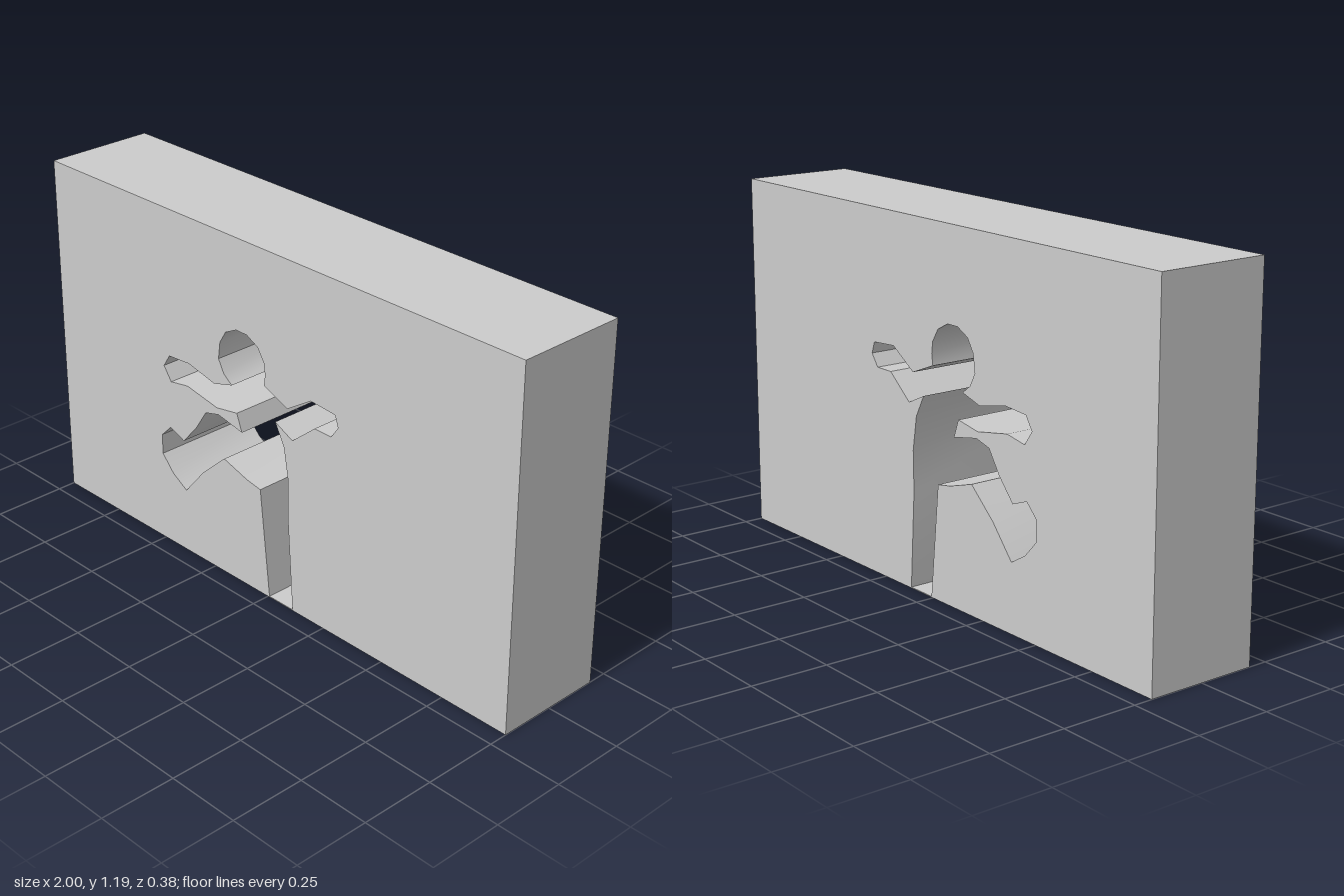
import * as THREE from 'three';
import { toCreasedNormals } from 'three/addons/utils/BufferGeometryUtils.js';

const WIDTH = 2, HEIGHT = 1.187, DEPTH = 0.375;

// Outline of the running figure, clockwise from the standing foot
const standingLegInner = [[0.007, 0.003], [-0.03, 0.375], [-0.09, 0.385], [-0.197, 0.417]];
const raisedLeg = [
  [-0.30, 0.326], [-0.387, 0.225], [-0.45, 0.262], [-0.50, 0.316], [-0.50, 0.385], [-0.456, 0.428],
  [-0.392, 0.404], [-0.328, 0.476], [-0.28, 0.548], [-0.22, 0.564], [-0.111, 0.543],
];
const rightArm = [
  [-0.133, 0.602], [-0.226, 0.586], [-0.365, 0.61], [-0.445, 0.596], [-0.478, 0.642],
  [-0.45, 0.685], [-0.355, 0.692], [-0.237, 0.666], [-0.154, 0.69],
];
const head = [
  [-0.19, 0.717], [-0.213, 0.76], [-0.205, 0.818], [-0.178, 0.861], [-0.13, 0.885],
  [-0.082, 0.885], [-0.034, 0.861], [-0.007, 0.818], [-0.002, 0.78], [-0.007, 0.743],
];
const leftArm = [
  [0.095, 0.703], [0.196, 0.767], [0.298, 0.76], [0.311, 0.722], [0.282, 0.682],
  [0.212, 0.682], [0.116, 0.604], [0.041, 0.639],
];
const standingLegOuter = [[0.079, 0.567], [0.097, 0.455], [0.095, 0.32], [0.113, 0.003]];

const toPoints = (list) => list.map(([x, y]) => new THREE.Vector2(x, y));

export function createModel() {
  const group = new THREE.Group();
  group.name = 'wallWithFigureCutout';

  // Rectangular slab pierced front to back by the figure, with a thin sill under the foot
  const w = WIDTH / 2;
  const slab = new THREE.Shape(toPoints([[-w, 0], [w, 0], [w, HEIGHT], [-w, HEIGHT]]));
  slab.holes.push(new THREE.Path(toPoints([
    ...standingLegInner, ...raisedLeg, ...rightArm, ...head, ...leftArm, ...standingLegOuter,
  ])));

  const geometry = new THREE.ExtrudeGeometry(slab, { depth: DEPTH, bevelEnabled: false });
  geometry.translate(0, 0, -DEPTH / 2);

  const wall = new THREE.Mesh(
    toCreasedNormals(geometry, 0.55),
    new THREE.MeshStandardMaterial({ color: 0xcccccc }),
  );
  wall.name = 'wall';
  group.add(wall);
  return group;
}
